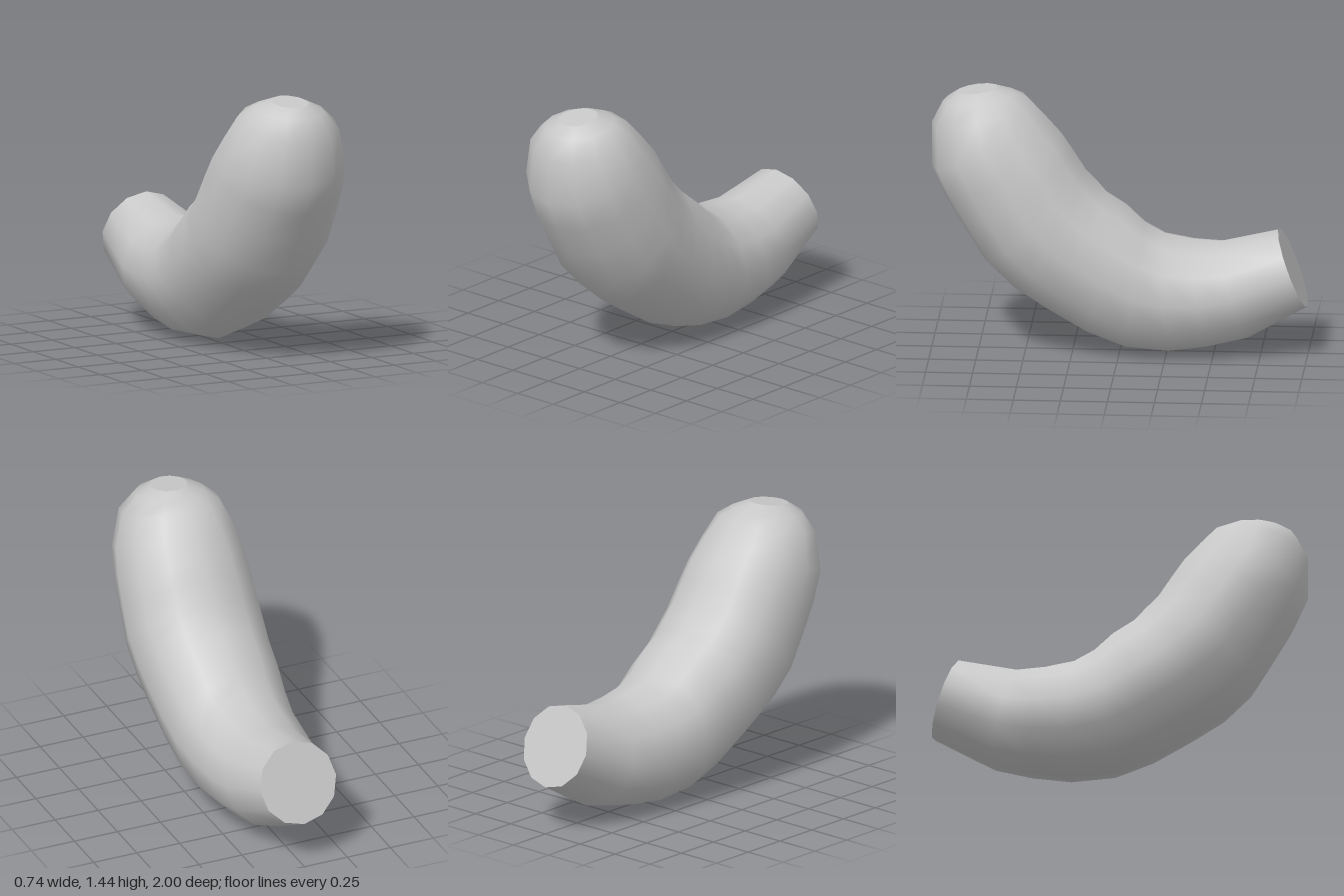
import * as THREE from 'three';

const SIDES = 12;

// Cross-sections from tail to tip: inner edge z, y; outer edge z, y; half width
const RINGS = [
  [-0.84, 0.68, -1.0, 0.26, 0.22],
  [-0.53, 0.61, -0.68, 0.08, 0.275],
  [-0.38, 0.62, -0.48, 0.03, 0.3],
  [-0.23, 0.65, -0.27, 0.0, 0.315],
  [-0.13, 0.71, -0.03, 0.02, 0.335],
  [-0.04, 0.8, 0.18, 0.1, 0.35],
  [0.07, 0.87, 0.4, 0.23, 0.36],
  [0.12, 0.93, 0.57, 0.34, 0.368],
  [0.18, 0.99, 0.72, 0.49, 0.372],
  [0.25, 1.1, 0.83, 0.67, 0.365],
  [0.31, 1.19, 0.93, 0.84, 0.355],
  [0.4, 1.29, 1.0, 1.0, 0.332],
  [0.49, 1.38, 1.0, 1.24, 0.275],
  [0.56, 1.41, 0.94, 1.36, 0.19],
  [0.65, 1.44, 0.87, 1.41, 0.1],
];

// Points of one elliptical cross-section
function ringPoints([iz, iy, oz, oy, w]) {
  const pts = [];
  for (let j = 0; j < SIDES; j++) {
    const t = (j / SIDES) * Math.PI * 2;
    const c = Math.cos(t) / 2;
    pts.push(w * Math.sin(t), (iy + oy) / 2 + (iy - oy) * c, (iz + oz) / 2 + (iz - oz) * c);
  }
  return pts;
}

function makeGeometry(positions, index) {
  const g = new THREE.BufferGeometry();
  g.setAttribute('position', new THREE.Float32BufferAttribute(positions, 3));
  g.setIndex(index);
  g.computeVertexNormals();
  return g;
}

// Smooth skin joining the cross-sections
function loft() {
  const index = [];
  for (let i = 0; i < RINGS.length - 1; i++) {
    for (let j = 0; j < SIDES; j++) {
      const k = (j + 1) % SIDES;
      const a = i * SIDES + j, b = i * SIDES + k;
      const c = a + SIDES, d = b + SIDES;
      index.push(a, c, b, b, c, d);
    }
  }
  return makeGeometry(RINGS.flatMap(ringPoints), index);
}

// Flat end disc
function cap(ring, facesForward) {
  const index = [];
  for (let j = 1; j < SIDES - 1; j++) {
    index.push(0, facesForward ? j + 1 : j, facesForward ? j : j + 1);
  }
  return makeGeometry(ringPoints(ring), index);
}

export function createModel() {
  const group = new THREE.Group();
  const grey = new THREE.MeshStandardMaterial({ color: 0xc8c8c8 });
  grey.name = 'light grey';
  const add = (name, geometry) => {
    const mesh = new THREE.Mesh(geometry, grey);
    mesh.name = name;
    group.add(mesh);
  };
  add('curvedBody', loft());
  add('cutEnd', cap(RINGS[0], false));
  add('roundedTip', cap(RINGS[RINGS.length - 1], true));
  return group;
}
